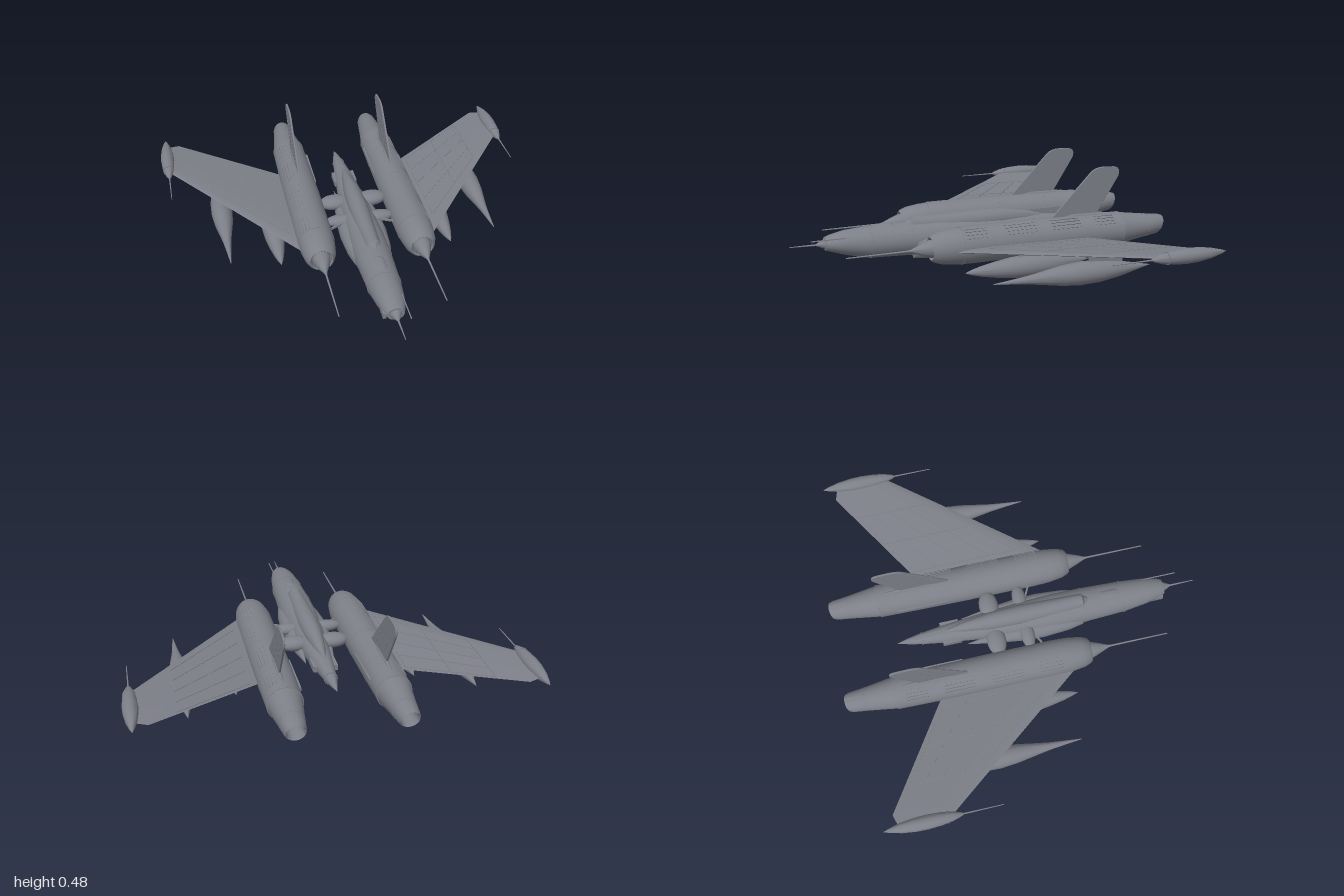
import * as THREE from 'three';
import { toCreasedNormals } from 'three/addons/utils/BufferGeometryUtils.js';

const hull = new THREE.MeshStandardMaterial({ color: 0x7e8089 });
hull.name = 'hull grey';

// Closed skin over equal rings of [x, y, z] points, listed counter-clockwise seen from the end
function skin(rings, flip = false) {
  const n = rings[0].length, index = [];
  for (let i = 0; i < rings.length - 1; i++) {
    for (let j = 0; j < n; j++) {
      const a = i * n + j, b = i * n + (j + 1) % n, c = b + n, d = a + n;
      if (flip) index.push(a, c, b, a, d, c);
      else index.push(a, b, c, a, c, d);
    }
  }
  const geo = new THREE.BufferGeometry();
  geo.setAttribute('position', new THREE.Float32BufferAttribute(rings.flat(2), 3));
  geo.setIndex(index);
  return toCreasedNormals(geo, 0.5);
}

// Streamlined body along z from sections [z, rx, ry, centre y, slant of the ring]
function body(sections, sides = 28) {
  return skin(sections.map(([z, rx, ry = rx, cy = 0, slant = 0]) =>
    Array.from({ length: sides }, (_, j) => {
      const a = (j / sides) * Math.PI * 2;
      return [Math.cos(a) * rx, cy + Math.sin(a) * ry, z - slant * Math.sin(a)];
    })));
}

function add(parent, name, geo, x = 0, y = 0, z = 0) {
  const mesh = new THREE.Mesh(geo, hull);
  mesh.name = name;
  mesh.position.set(x, y, z);
  parent.add(mesh);
  return mesh;
}

// Thin plate laid from point a to point b, in the parent's frame
function strip(parent, name, a, b, w = 0.006, h = 0.004) {
  const p = new THREE.Vector3(...a), q = new THREE.Vector3(...b);
  const mesh = add(parent, name, new THREE.BoxGeometry(w, h, p.distanceTo(q)));
  mesh.position.copy(p).lerp(q, 0.5);
  mesh.lookAt(q.add(parent.position));
  return mesh;
}

const band = (r, w = 0.006) => body([[-w / 2, r - 0.006], [-w / 2, r], [w / 2, r], [w / 2, r - 0.006]]);

// Wing surface: f runs from leading edge (0) to trailing edge (1), side is +1 top or -1 underside
function wingPoint(x, f, side) {
  const lead = 0.2 - 1.28 * (x - 0.37);
  const trail = x < 0.89 ? -0.5 - 0.64 * (x - 0.36) : -0.84 + 0.3 * (x - 0.89);
  const thick = 0.013 - 0.011 * (x - 0.3);
  const y = 0.132 + 0.1 * (x - 0.3) + side * thick * Math.sin(Math.PI * Math.sqrt(f));
  return [x, y, lead + (trail - lead) * f];
}

function buildWing(s) {
  const wing = new THREE.Group();
  wing.name = s > 0 ? 'leftWing' : 'rightWing';
  const chord = [0, 0.05, 0.15, 0.35, 0.6, 0.8, 1];
  const rings = [0.28, 0.6, 0.89, 0.955].map(x => [
    ...chord.map(f => wingPoint(x, f, 1)),
    ...chord.slice(1, -1).reverse().map(f => wingPoint(x, f, -1)),
  ].map(([px, py, pz]) => [px * s, py, pz]));
  add(wing, 'wingPanel', skin(rings, s > 0));

  // Panel seams on both faces
  const at = (x, f, side) => {
    const p = wingPoint(x, f, side);
    return [p[0] * s, p[1] + side * 0.0005, p[2]];
  };
  for (const side of [1, -1]) {
    for (const f of [0.14, 0.36, 0.58, 0.78, 0.96])
      strip(wing, 'spanSeam', at(0.39, f, side), at(0.76, f, side), 0.005, 0.003);
    for (const x of [0.39, 0.58, 0.76])
      for (let i = 0; i < 4; i++)
        strip(wing, 'ribSeam', at(x, 0.14 + i * 0.205, side), at(x, 0.34 + i * 0.205, side), 0.005, 0.003);
  }

  // Wing tip pod with its probe
  add(wing, 'tipPod', body([[-0.9, 0], [-0.87, 0.011], [-0.81, 0.026], [-0.74, 0.035], [-0.68, 0.037],
    [-0.61, 0.033], [-0.55, 0.024], [-0.51, 0.012], [-0.495, 0.004], [-0.29, 0.002], [-0.29, 0]], 20), 0.962 * s, 0.198);
  add(wing, 'tipPodBand', band(0.031), 0.962 * s, 0.198, -0.575);

  // Tanks slung under the wing
  add(wing, 'outerTank', body([[-0.65, 0], [-0.58, 0.015], [-0.47, 0.039], [-0.36, 0.054], [-0.26, 0.057],
    [-0.17, 0.049], [-0.08, 0.034], [0, 0.021], [0.08, 0.012], [0.18, 0.002], [0.18, 0]], 24), 0.705 * s, 0.083);
  add(wing, 'innerTank', body([[-0.45, 0], [-0.4, 0.014], [-0.31, 0.038], [-0.2, 0.054], [-0.11, 0.057],
    [-0.02, 0.052], [0.06, 0.041], [0.14, 0.026], [0.19, 0.013], [0.225, 0]], 24), 0.452 * s, 0.062);
  add(wing, 'outerPylon', new THREE.BoxGeometry(0.012, 0.05, 0.18), 0.705 * s, 0.146, -0.4);
  add(wing, 'innerPylon', new THREE.BoxGeometry(0.012, 0.05, 0.2), 0.452 * s, 0.121, -0.16);
  return wing;
}

function buildEngine(s) {
  const engine = new THREE.Group();
  engine.name = s > 0 ? 'leftEngine' : 'rightEngine';
  engine.position.set(0.262 * s, 0.143, 0);

  // Nacelle with hollow intake and slanted nozzle
  add(engine, 'nacelle', body([[-0.84, 0], [-0.84, 0.038], [-0.955, 0.042, 0.042, 0, 0.014],
    [-0.967, 0.046, 0.046, 0, 0.014], [-0.95, 0.053, 0.053, 0, 0.01],
    [-0.88, 0.061], [-0.72, 0.084], [-0.715, 0.088], [-0.5, 0.092], [-0.23, 0.095], [0.13, 0.095],
    [0.22, 0.091], [0.29, 0.081], [0.325, 0.068], [0.335, 0.058], [0.33, 0.053], [0.26, 0.05], [0.26, 0]], 36));
  add(engine, 'intakeSpike', body([[0.25, 0.046], [0.34, 0.044], [0.39, 0.026], [0.43, 0.009],
    [0.45, 0.005], [0.76, 0.003], [0.76, 0]], 20));
  for (const [z, r] of [[-0.88, 0.062], [-0.715, 0.089], [-0.51, 0.093], [-0.23, 0.096], [0.18, 0.095]])
    add(engine, 'nacelleBand', band(r, 0.005), 0, 0, z);

  // Louvres around the upper outer flank
  for (const [z0, z1] of [[-0.66, -0.55], [-0.46, -0.3], [-0.21, -0.04], [0.05, 0.17]]) {
    for (const t of [0.35, 0.55, 0.75, 0.95]) {
      const r = z0 < -0.5 ? 0.09 : 0.094;
      const slat = add(engine, 'louvre', new THREE.BoxGeometry(0.006, 0.006, z1 - z0),
        s * Math.sin(t) * r, Math.cos(t) * r, (z0 + z1) / 2);
      slat.rotation.z = -s * t;
    }
  }
  add(engine, 'innerRail', new THREE.BoxGeometry(0.012, 0.02, 0.28), -s * 0.09, 0.015, -0.48);

  // Swept tail fin
  const shape = new THREE.Shape();
  shape.moveTo(0.29, 0.065);
  shape.lineTo(0.33, 0.095);
  shape.lineTo(0.55, 0.318);
  shape.quadraticCurveTo(0.575, 0.338, 0.62, 0.338);
  shape.lineTo(0.68, 0.335);
  shape.quadraticCurveTo(0.72, 0.33, 0.705, 0.285);
  shape.lineTo(0.575, 0.08);
  shape.lineTo(0.56, 0.065);
  const finGeo = new THREE.ExtrudeGeometry(shape, { depth: 0.006, bevelThickness: 0.002, bevelSize: 0.002, bevelSegments: 1, curveSegments: 8 });
  finGeo.translate(0, 0, -0.003).rotateY(Math.PI / 2);
  add(engine, 'tailFin', finGeo);
  add(engine, 'finFairing', body([[-0.72, 0], [-0.6, 0.012, 0.018], [-0.45, 0.014, 0.022], [-0.3, 0]], 16), 0, 0.082);

  // Short fin seams along the sweep
  for (const x of [0.005, -0.005])
    for (const z of [-0.41, -0.47, -0.53])
      for (const k of [0, 1, 2])
        strip(engine, 'finSeam', [x, 0.12 + k * 0.055, z - k * 0.045], [x, 0.15 + k * 0.055, z - 0.025 - k * 0.045], 0.002, 0.004);
  return engine;
}

function buildFuselage() {
  const f = new THREE.Group();
  f.name = 'fuselage';
  add(f, 'mainBody', body([[-0.66, 0, 0, 0.145], [-0.6, 0.016, 0.016, 0.145], [-0.53, 0.03, 0.03, 0.143],
    [-0.42, 0.045, 0.045, 0.14], [-0.25, 0.064, 0.06, 0.135], [0, 0.085, 0.08, 0.13], [0.2, 0.094, 0.088, 0.13],
    [0.36, 0.093, 0.088, 0.13], [0.58, 0.083, 0.082, 0.133], [0.7, 0.07, 0.064, 0.143], [0.78, 0.053, 0.042, 0.147],
    [0.805, 0.042, 0.034, 0.147], [0.805, 0.028, 0.026, 0.147], [0.85, 0.005, 0.005, 0.145],
    [0.98, 0.002, 0.002, 0.147], [0.98, 0, 0, 0.147]], 32));
  add(f, 'dorsalSpine', body([[-0.42, 0, 0, 0.18], [-0.3, 0.026, 0.032, 0.185], [-0.15, 0.046, 0.052, 0.19],
    [0, 0.052, 0.055, 0.191], [0.2, 0.046, 0.052, 0.19], [0.31, 0.042, 0.055, 0.19], [0.35, 0.04, 0.055, 0.19],
    [0.36, 0.03, 0.04, 0.19], [0.42, 0, 0, 0.2]]));
  add(f, 'bellyTank', body([[-0.38, 0, 0, 0.07], [-0.25, 0.025, 0.025, 0.058], [-0.05, 0.04, 0.04, 0.05],
    [0.12, 0.038, 0.04, 0.052], [0.27, 0.034, 0.036, 0.048], [0.34, 0.026, 0.025, 0.044], [0.345, 0, 0, 0.044]]));
  add(f, 'tailBlock', new THREE.BoxGeometry(0.125, 0.03, 0.1), 0, 0.14, -0.37);
  add(f, 'tailBand', band(0.034, 0.008), 0, 0.143, -0.525);
  for (const [z, r, y, squash] of [[0.575, 0.086, 0.133, 0.98], [0.36, 0.095, 0.13, 0.94]])
    add(f, 'bodyBand', band(r), 0, y, z).scale.y = squash;

  // Canopy and deck details
  add(f, 'canopy', body([[0.42, 0, 0, 0.2], [0.46, 0.03, 0.022, 0.2], [0.54, 0.032, 0.024, 0.197], [0.64, 0, 0, 0.19]], 18));
  for (const x of [0.034, -0.034])
    strip(f, 'canopyRail', [x, 0.207, 0.41], [x, 0.203, 0.56], 0.006, 0.006);

  // Probe and fairing beside the nose
  strip(f, 'noseProbe', [0.052, 0.18, 0.6], [0.052, 0.18, 0.885], 0.005, 0.005);
  add(f, 'noseFairing', new THREE.BoxGeometry(0.016, 0.03, 0.1), -0.052, 0.135, 0.745);

  for (const s of [1, -1]) {
    // Cheek bodies and the links out to the engines
    add(f, 'cheek', body([[-0.3, 0], [-0.15, 0.026, 0.032], [0, 0.045, 0.048], [0.12, 0.05, 0.052], [0.26, 0.04, 0.045],
      [0.34, 0.024, 0.03], [0.36, 0]], 20), 0.074 * s, 0.112);
    const ball = (rx, ry, rz) => new THREE.SphereGeometry(1, 24, 14).scale(rx, ry, rz);
    add(f, 'rearLink', ball(0.085, 0.038, 0.052), 0.1 * s, 0.15, -0.14);
    add(f, 'frontLink', ball(0.085, 0.03, 0.038), 0.1 * s, 0.15, 0.03);
    strip(f, 'brace', [0.08 * s, 0.15, 0.05], [0.18 * s, 0.15, 0.1], 0.01, 0.01);
  }
  return f;
}

export function createModel() {
  const model = new THREE.Group();
  model.name = 'twinEngineCraft';
  model.add(buildFuselage());
  for (const s of [1, -1]) model.add(buildWing(s), buildEngine(s));
  const low = new THREE.Box3().setFromObject(model).min.y;
  model.children.forEach(part => { part.position.y -= low; });
  return model;
}
